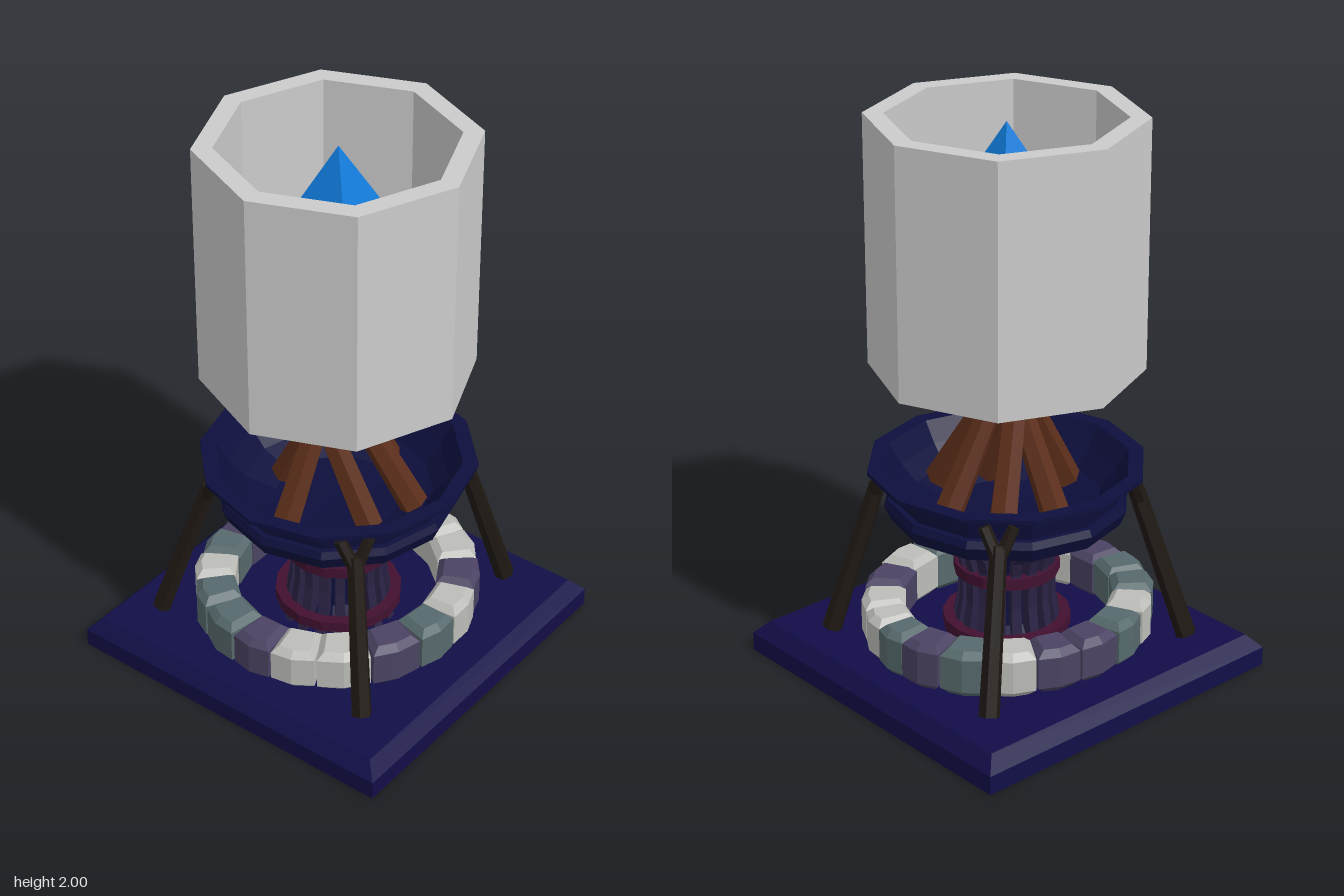
import * as THREE from 'three';

const mat = (color) => new THREE.MeshStandardMaterial({ color, flatShading: true });
const MATS = {
  navy: mat(0x120e48), navyDark: mat(0x0d0f3c), grey: mat(0xcccccc), blue: mat(0x0f7ad8),
  wood: mat(0x5c2e1a), iron: mat(0x1f1813), stave: mat(0x2a2244), maroon: mat(0x421130),
  l: mat(0xbcbcb8), p: mat(0x4b4363), g: mat(0x56696c),
};

function add(parent, name, geometry, material) {
  const mesh = new THREE.Mesh(geometry, material);
  mesh.name = name;
  parent.add(mesh);
  return mesh;
}

function group(parent, name) {
  const g = new THREE.Group();
  g.name = name;
  parent.add(g);
  return g;
}

// Revolved profile, listed counter-clockwise: outside upwards, inside downwards
const lathe = (pts, sides) => new THREE.LatheGeometry(pts.map(([r, y]) => new THREE.Vector2(r, y)), sides);

// Straight tapered pole between two points
function beam(parent, name, a, b, rA, rB, sides, material) {
  const from = new THREE.Vector3(...a), to = new THREE.Vector3(...b);
  const dir = to.clone().sub(from);
  const mesh = add(parent, name, new THREE.CylinderGeometry(rB, rA, dir.length(), sides), material);
  mesh.position.copy(from).add(to).multiplyScalar(0.5);
  mesh.quaternion.setFromUnitVectors(new THREE.Vector3(0, 1, 0), dir.normalize());
  return mesh;
}

// Chamfered wedge of the stone ring, spanning angles a0..a1
function stoneGeometry(a0, a1, inner, outer, height) {
  const bevel = 0.024, shape = new THREE.Shape();
  const mid = (a0 + a1) / 2;
  const at = (r, a) => [r * Math.cos(a), -r * Math.sin(a)];
  shape.moveTo(...at(inner, a0));
  shape.lineTo(...at(inner, a1));
  shape.lineTo(...at(outer, a1));
  shape.lineTo(...at(outer + 0.008, mid));
  shape.lineTo(...at(outer, a0));
  shape.closePath();
  const geo = new THREE.ExtrudeGeometry(shape, {
    depth: height - 2 * bevel, bevelEnabled: true, bevelThickness: bevel, bevelSize: bevel, bevelSegments: 1,
  });
  return geo.rotateX(-Math.PI / 2).translate(0, bevel, 0);
}

export function createModel() {
  const root = new THREE.Group();
  root.name = 'brazier';

  // Square plinth with a chamfered top edge
  const s = Math.SQRT2;
  add(root, 'plinth', lathe([[0, 0], [0.637 * s, 0], [0.637 * s, 0.068], [0.592 * s, 0.117], [0, 0.117]], 4), MATS.navy)
    .rotation.y = Math.PI / 4;

  // Ring of stones
  const ring = group(root, 'stoneRing');
  ring.scale.z = 0.94;
  const angles = [3, 18, 37, 58, 78, 97, 115, 139, 160, 178, 197, 217, 234, 251, 270, 289, 307, 327, 346];
  const tones = 'gllplgpllpgglgpplgp';
  const n = angles.length;
  angles.forEach((deg, i) => {
    const prev = angles[(i + n - 1) % n] - (i === 0 ? 360 : 0);
    const next = angles[(i + 1) % n] + (i === n - 1 ? 360 : 0);
    const a0 = THREE.MathUtils.degToRad((prev + deg) / 2) + 0.055;
    const a1 = THREE.MathUtils.degToRad((next + deg) / 2) - 0.055;
    const wobble = Math.sin(i * 5.3);
    add(ring, 'stone', stoneGeometry(a0, a1, 0.395 + 0.008 * wobble, 0.493 + 0.006 * wobble, 0.165 + 0.006 * wobble), MATS[tones[i]])
      .position.y = 0.12;
  });

  // Pedestal: core, flared staves and two bands
  const pedestal = group(root, 'pedestal');
  add(pedestal, 'core', lathe([[0.19, 0.115], [0.14, 0.2], [0.13, 0.4], [0.15, 0.47], [0.2, 0.54]], 12), MATS.navyDark);
  const stave = new THREE.Shape();
  const outerEdge = [[0.215, 0.115], [0.185, 0.19], [0.17, 0.28], [0.17, 0.41], [0.185, 0.46], [0.23, 0.5]];
  const innerEdge = [[0.21, 0.525], [0.16, 0.48], [0.125, 0.41], [0.125, 0.2], [0.17, 0.115]];
  [...outerEdge, ...innerEdge].forEach(([x, y], i) => (i ? stave.lineTo(x, y) : stave.moveTo(x, y)));
  const staveGeo = new THREE.ExtrudeGeometry(stave, { depth: 0.034, bevelEnabled: false }).translate(0, 0, -0.017);
  for (let i = 0; i < 18; i++) add(pedestal, 'stave', staveGeo, MATS.stave).rotation.y = (i / 18) * Math.PI * 2;
  for (const [r, y] of [[0.185, 0.36], [0.225, 0.15]]) {
    add(pedestal, 'band', lathe([[r - 0.04, y], [r, y], [r, y + 0.04], [r - 0.04, y + 0.04], [r - 0.04, y]], 16), MATS.maroon);
  }

  // Fire bowl with a wide lip, a ridge and a hollow inside
  add(root, 'bowl', lathe([
    [0, 0.5], [0.2, 0.505], [0.31, 0.545], [0.375, 0.585], [0.405, 0.585], [0.427, 0.635], [0.415, 0.66],
    [0.395, 0.66], [0.41, 0.74], [0.455, 0.742], [0.483, 0.757], [0.483, 0.772], [0.43, 0.772],
    [0.385, 0.7], [0.33, 0.635], [0.22, 0.59], [0, 0.575],
  ], 12), MATS.navyDark);

  // Four splayed legs, each forked at the top
  const legs = group(root, 'legs');
  for (const [x, z] of [[0.47, 0.395], [-0.445, 0.445], [-0.425, -0.465], [0.46, -0.43]]) {
    const sx = Math.sign(x), sz = Math.sign(z);
    const top = [0.315 * sx, 0.67, 0.315 * sz];
    beam(legs, 'leg', [x, 0.13, z], top, 0.036, 0.03, 6, MATS.iron);
    for (const side of [-1, 1]) {
      const tip = [(0.305 + 0.035 * side) * sx, 0.73, (0.305 - 0.035 * side) * sz];
      beam(legs, 'legFork', [0.325 * sx, 0.62, 0.325 * sz], tip, 0.024, 0.022, 6, MATS.iron);
    }
  }

  // Leaning logs
  const logs = group(root, 'logs');
  [
    [[-0.26, 0.63, -0.02], [-0.07, 1.0, -0.01]],
    [[-0.045, 0.62, -0.2], [-0.03, 1.01, -0.01]],
    [[0.21, 0.63, -0.21], [0.01, 1.075, -0.065]],
    [[0.24, 0.63, 0.03], [0.05, 1.0, 0.01]],
    [[0.075, 0.63, 0.27], [-0.01, 1.05, 0.035]],
    [[-0.1, 0.62, 0.21], [-0.12, 1.02, 0.02]],
  ].forEach(([a, b], i) => beam(logs, 'log', a, b, 0.052, 0.04, 6, MATS.wood).rotateY(i * 0.7));

  // Floating crystal
  const crystal = add(root, 'crystal', new THREE.OctahedronGeometry(1), MATS.blue);
  crystal.scale.set(0.188 * s, 0.4, 0.188 * s);
  crystal.rotation.y = Math.PI / 4;
  crystal.position.y = 1.58;

  // Octagonal open sleeve around the crystal
  add(root, 'sleeve', lathe([[0.4, 1.12], [0.47, 1.12], [0.47, 2], [0.4, 2], [0.4, 1.12]], 8), MATS.grey);

  return root;
}
